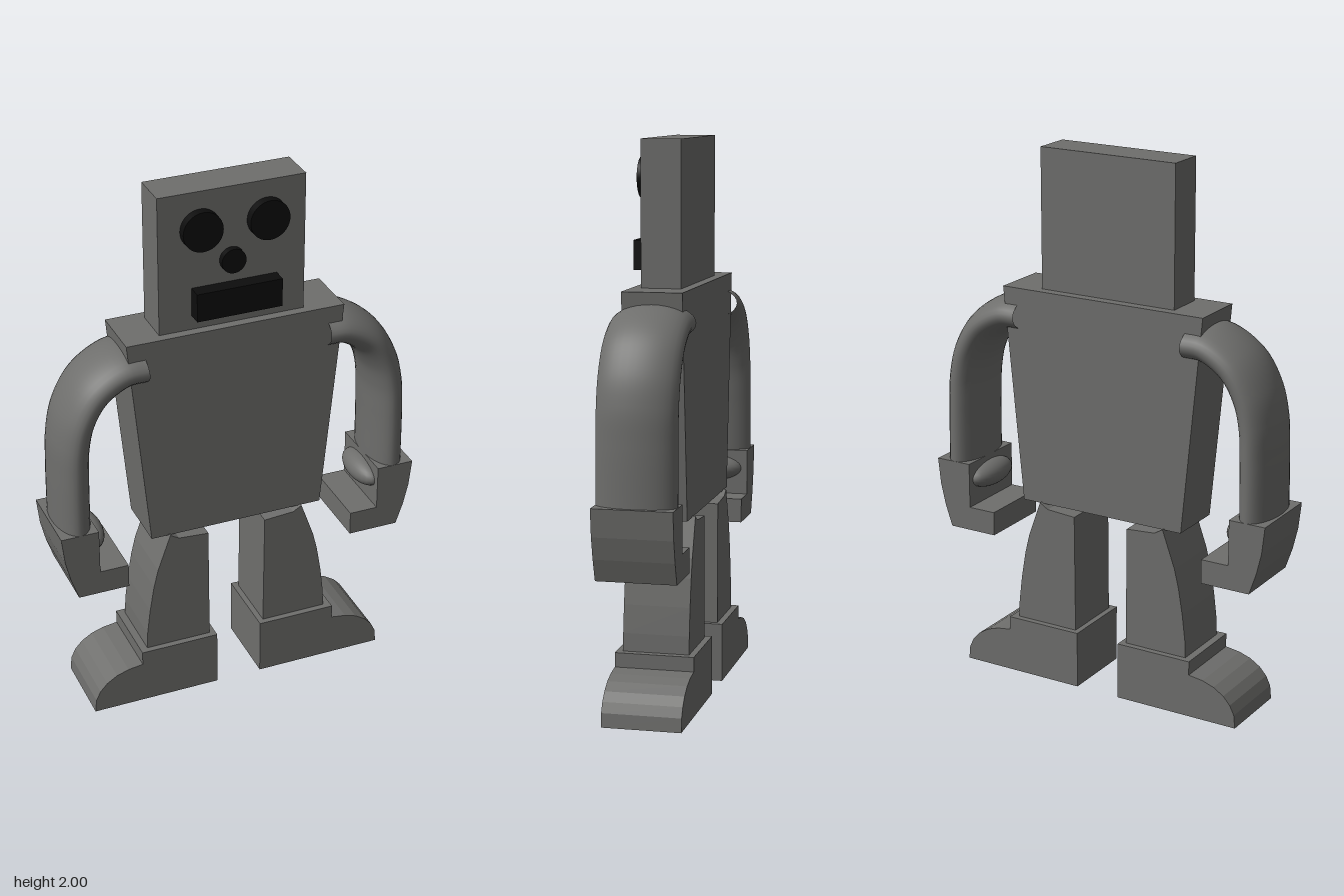
import * as THREE from 'three';

const grey = new THREE.MeshStandardMaterial({ color: 0x6e6e6c });
grey.name = 'body grey';
const black = new THREE.MeshStandardMaterial({ color: 0x0d0d0d });
black.name = 'face black';

function mesh(name, geometry, material = grey) {
  const m = new THREE.Mesh(geometry, material);
  m.name = name;
  return m;
}

// Flat outline extruded evenly to both sides of z = 0
function slab(name, outline, halfDepth) {
  const shape = new THREE.Shape(outline.map(([x, y]) => new THREE.Vector2(x, y)));
  const g = new THREE.ExtrudeGeometry(shape, { depth: halfDepth * 2, bevelEnabled: false });
  g.translate(0, 0, -halfDepth);
  return mesh(name, g);
}

function box(name, x0, x1, y0, y1, z0, z1, material) {
  const m = mesh(name, new THREE.BoxGeometry(x1 - x0, y1 - y0, z1 - z0), material);
  m.position.set((x0 + x1) / 2, (y0 + y1) / 2, (z0 + z1) / 2);
  return m;
}

// Round face button standing out from the front of the head
function button(name, x, y, radius, z1) {
  const z0 = 0.06;
  const g = new THREE.CylinderGeometry(radius, radius, z1 - z0, 40).rotateX(Math.PI / 2);
  const m = mesh(name, g, black);
  m.position.set(x, y, (z0 + z1) / 2);
  return m;
}

// Arm: bent tube with an oval section, deep in z
function arm() {
  const path = new THREE.CatmullRomCurve3([
    [0.34, 1.38], [0.415, 1.375], [0.515, 1.315], [0.575, 1.22],
    [0.6, 1.12], [0.607, 1.0], [0.61, 0.79],
  ].map(([x, y]) => new THREE.Vector3(x, y, 0)));
  const g = new THREE.TubeGeometry(path, 40, 0.066, 32);
  g.scale(1, 1, 0.142 / 0.066);
  return mesh('arm', g);
}

// Hooked hand with a rounded thumb
function hand() {
  const group = new THREE.Group();
  group.name = 'hand';
  group.add(slab('palm', [
    [0.545, 0.79], [0.545, 0.62], [0.438, 0.62], [0.438, 0.53], [0.628, 0.53],
    [0.655, 0.61], [0.674, 0.69], [0.685, 0.79],
  ], 0.142));
  const thumb = mesh('thumb', new THREE.SphereGeometry(1, 24, 16));
  thumb.scale.set(0.058, 0.05, 0.12);
  thumb.position.set(0.548, 0.72, 0);
  group.add(thumb);
  return group;
}

function leg() {
  return slab('leg', [
    [0.108, 0.2], [0.357, 0.2], [0.354, 0.28], [0.342, 0.38], [0.325, 0.48],
    [0.308, 0.55], [0.258, 0.69], [0.225, 0.67], [0.111, 0.662],
  ], 0.119);
}

// Foot: square heel block and a rounded toe pointing outwards
function foot() {
  return slab('foot', [
    [0.087, 0], [0.574, 0], [0.569, 0.05], [0.552, 0.085], [0.525, 0.115],
    [0.485, 0.14], [0.44, 0.155], [0.384, 0.163], [0.384, 0.215], [0.087, 0.215],
  ], 0.142);
}

export function createModel() {
  const model = new THREE.Group();
  model.name = 'robot';

  // Head and face
  const head = new THREE.Group();
  head.name = 'head';
  head.add(
    box('headBlock', -0.28, 0.26, 1.48, 2, -0.07, 0.073),
    button('rightEye', -0.127, 1.863, 0.073, 0.105),
    button('leftEye', 0.117, 1.863, 0.073, 0.105),
    button('nose', -0.012, 1.73, 0.045, 0.097),
    box('mouth', -0.16, 0.156, 1.54, 1.645, 0.06, 0.126, black),
  );
  model.add(head);

  // Tapered torso
  model.add(slab('torso', [
    [-0.335, 0.685], [0.325, 0.685], [0.402, 1.487], [-0.412, 1.487],
  ], 0.107));

  // Limbs, turned half round for the other side
  for (const side of ['left', 'right']) {
    const turn = side === 'left' ? 0 : Math.PI;
    const upper = new THREE.Group();
    upper.name = side + 'ArmAndHand';
    upper.add(arm(), hand());
    upper.rotation.y = turn;
    const lower = new THREE.Group();
    lower.name = side + 'LegAndFoot';
    lower.add(leg(), foot());
    lower.rotation.y = turn;
    lower.position.x = -0.01;
    model.add(upper, lower);
  }
  return model;
}
